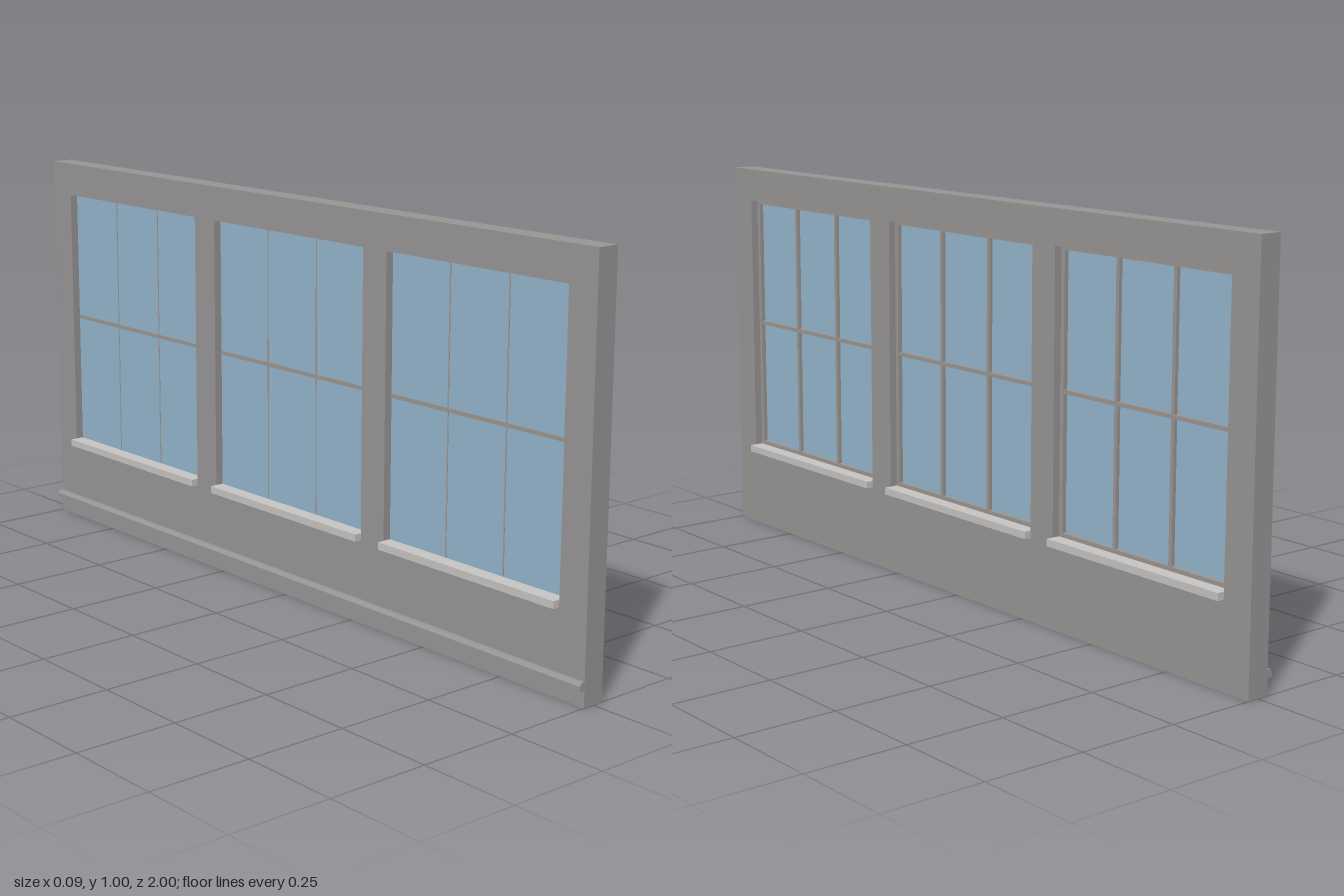
import * as THREE from 'three';

const material = (name, color) => {
  const m = new THREE.MeshStandardMaterial({ color });
  m.name = name;
  return m;
};

export function createModel() {
  const wallGrey = material('wallGrey', 0x999696);
  const frameGrey = material('frameGrey', 0x9c9793);
  const sillGrey = material('sillGrey', 0xc8c6c4);
  const glassBlue = material('glassBlue', 0x96b6ce);

  const model = new THREE.Group();
  model.name = 'windowWall';

  const T = 0.0285;                 // half thickness of the wall
  const W = 0.56;                   // opening width
  const bottom = 0.207, top = 0.914;
  const sillTop = 0.225;
  const centres = [-0.64, 0, 0.64];

  // Box given by its limits on each axis
  const box = (parent, name, mat, x0, x1, y0, y1, z0, z1) => {
    const mesh = new THREE.Mesh(new THREE.BoxGeometry(x1 - x0, y1 - y0, z1 - z0), mat);
    mesh.position.set((x0 + x1) / 2, (y0 + y1) / 2, (z0 + z1) / 2);
    mesh.name = name;
    parent.add(mesh);
  };

  const rectangle = (target, x0, x1, y0, y1) => target
    .moveTo(x0, y0).lineTo(x1, y0).lineTo(x1, y1).lineTo(x0, y1).closePath();

  // Wall panel with three openings
  const outline = rectangle(new THREE.Shape(), -1, 1, 0, 1);
  for (const c of centres) {
    outline.holes.push(rectangle(new THREE.Path(), c - W / 2, c + W / 2, bottom, top));
  }
  const wallGeometry = new THREE.ExtrudeGeometry(outline, { depth: 2 * T, bevelEnabled: false });
  wallGeometry.translate(0, 0, -T).rotateY(Math.PI / 2);
  const wall = new THREE.Mesh(wallGeometry, wallGrey);
  wall.name = 'wall';
  model.add(wall);

  // Base rail along the outer face, with a chamfered upper edge
  const railShape = new THREE.Shape([
    [-T, 0.04], [-T, 0.06], [-0.037, 0.06], [-0.043, 0.052], [-0.043, 0.04],
  ].map(([x, y]) => new THREE.Vector2(x, y)));
  const railGeometry = new THREE.ExtrudeGeometry(railShape, { depth: 2, bevelEnabled: false });
  railGeometry.translate(0, 0, -1);
  const rail = new THREE.Mesh(railGeometry, wallGrey);
  rail.name = 'baseRail';
  model.add(rail);

  // Windows: sill, glass, border frame and glazing bars
  for (const c of centres) {
    const win = new THREE.Group();
    win.name = 'window';
    win.position.z = c;
    model.add(win);
    const h = W / 2, f = 0.012, b = 0.005;
    const x0 = -0.004, x1 = 0.009;

    box(win, 'sill', sillGrey, -0.0465, 0.0465, bottom, sillTop, -h, h);
    box(win, 'glass', glassBlue, -0.008, -0.002, sillTop, top, -h, h);
    box(win, 'frameBottom', frameGrey, x0, x1, sillTop, sillTop + 0.01, -h, h);
    box(win, 'frameTop', frameGrey, x0, x1, top - 0.01, top, -h, h);
    for (const s of [-1, 1]) {
      const e = s * (h - f / 2);
      box(win, 'frameSide', frameGrey, x0, x1, sillTop + 0.01, top - 0.01, e - f / 2, e + f / 2);
      const z = s * 0.0915;
      box(win, 'verticalBar', frameGrey, x0, 0.007, sillTop, top, z - b, z + b);
      // narrow outer face of the bar
      box(win, 'verticalBarBack', frameGrey, -0.0085, -0.006, sillTop, top, z - 0.002, z + 0.002);
    }
    box(win, 'horizontalBar', frameGrey, -0.0095, 0.0075, 0.573 - b, 0.573 + b, -h, h);
  }

  return model;
}
